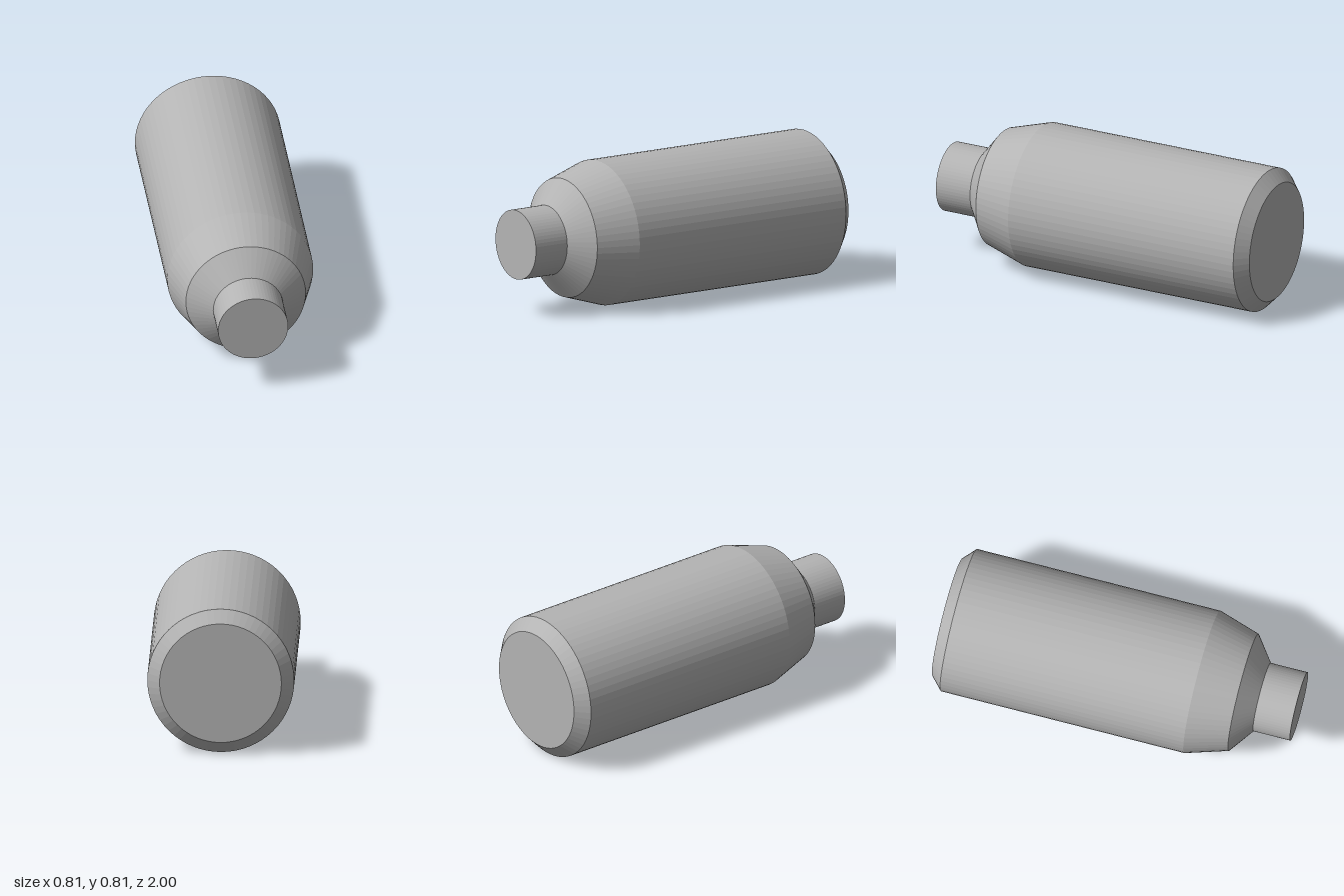
import * as THREE from 'three';

const SIDES = 64;
const AXIS_Y = 0.404;

export function createModel() {
  const group = new THREE.Group();
  const grey = new THREE.MeshStandardMaterial({ color: 0xb4b4b4, flatShading: true });
  grey.name = 'plain grey';

  // Turned part: profile of [radius, z] from back to front, laid along z
  const turned = (name, profile) => {
    const points = profile.map(([r, z]) => new THREE.Vector2(r, z));
    const geometry = new THREE.LatheGeometry(points, SIDES);
    geometry.rotateX(Math.PI / 2);
    geometry.translate(0, AXIS_Y, 0);
    const mesh = new THREE.Mesh(geometry, grey);
    mesh.name = name;
    group.add(mesh);
  };

  // Chamfered back end, straight barrel, gentle taper and steep shoulder
  turned('body', [
    [0, -1], [0.335, -1], [0.404, -0.935], [0.404, 0.45],
    [0.332, 0.685], [0.194, 0.79],
  ]);

  // Narrow stub with a closed front
  turned('neck', [[0.194, 0.79], [0.194, 1], [0, 1]]);

  return group;
}
